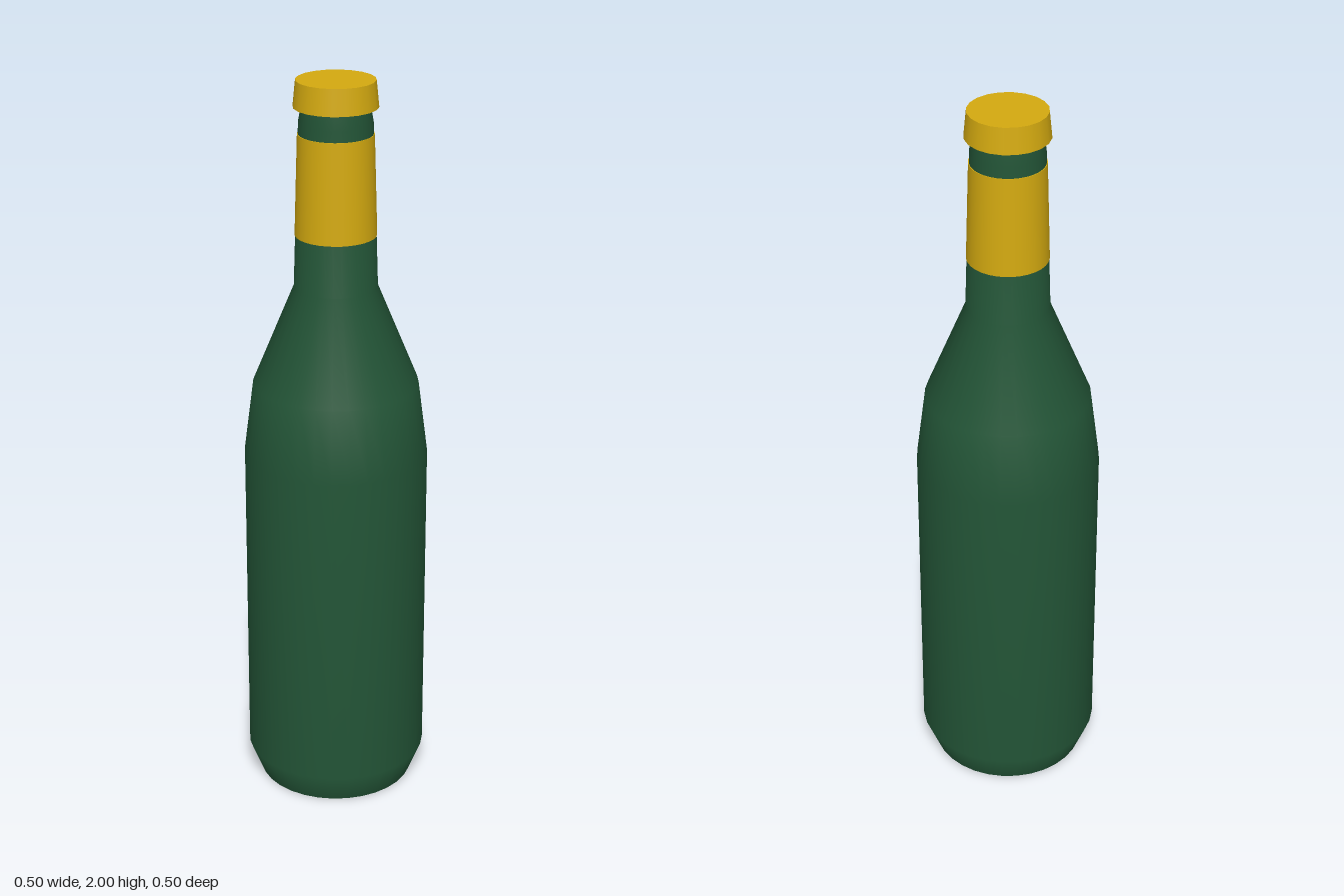
import * as THREE from 'three';

export function createModel() {
  const model = new THREE.Group();
  const glass = new THREE.MeshStandardMaterial({ color: 0x235537 });
  glass.name = 'green glass';
  const foil = new THREE.MeshStandardMaterial({ color: 0xd4aa10 });
  foil.name = 'gold foil';

  const add = (name, geometry, material, y = 0) => {
    const mesh = new THREE.Mesh(geometry, material);
    mesh.name = name;
    mesh.position.y = y;
    model.add(mesh);
    return mesh;
  };

  // Bottle profile from foot to lip, as [radius, height]
  const profile = [
    [0.214, 0], [0.248, 0.085], [0.248, 0.98], [0.222, 1.18],
    [0.111, 1.45], [0.097, 1.89], [0.09, 1.93], [0.09, 1.96],
  ].map(([r, y]) => new THREE.Vector2(r, y));
  add('bottleBody', new THREE.LatheGeometry(profile, 32), glass);

  // Flat underside
  add('bottleBase', new THREE.CircleGeometry(0.214, 32), glass).rotation.x = Math.PI / 2;

  // Foil sleeve wrapped round the neck
  add('neckFoil', new THREE.CylinderGeometry(0.1, 0.108, 0.27, 32, 1), foil, 1.725);

  // Slightly flared cap
  add('cap', new THREE.CylinderGeometry(0.104, 0.111, 0.07, 20), foil, 1.965);

  return model;
}
